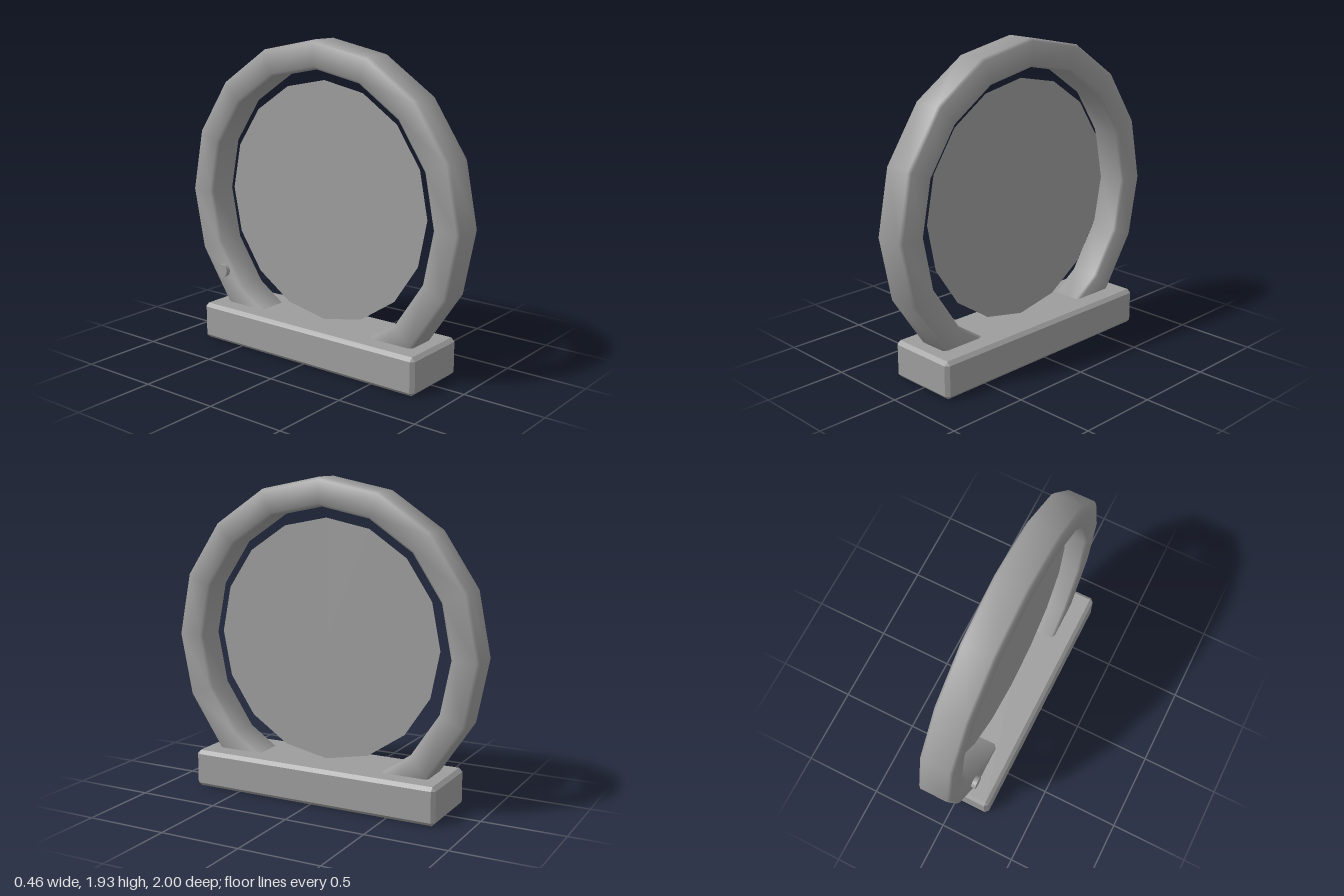
import * as THREE from 'three';
import { ConvexGeometry } from 'three/addons/geometries/ConvexGeometry.js';

const CENTRE_Y = 0.935;

function part(name, geometry, options = {}) {
  const mesh = new THREE.Mesh(geometry, new THREE.MeshStandardMaterial({ color: 0x9d9d9d, ...options }));
  mesh.name = name;
  return mesh;
}

// Box with a flat chamfer on every edge, centred on the origin
function chamferedBox(w, h, d, c) {
  const half = [w / 2, h / 2, d / 2];
  const points = [];
  for (let axis = 0; axis < 3; axis++)
    for (const sx of [-1, 1]) for (const sy of [-1, 1]) for (const sz of [-1, 1]) {
      const p = [sx, sy, sz].map((s, i) => s * (half[i] - (i === axis ? 0 : c)));
      points.push(new THREE.Vector3(...p));
    }
  return new ConvexGeometry(points);
}

// Bevelled rectangular section swept round a 16-sided arc, open at the bottom
function ringGeometry() {
  const outer = 1, inner = 0.832, left = -0.104, right = 0.099, b = 0.016;
  const section = [
    [outer, left + b], [outer, right - b], [outer - b, right], [inner + b, right],
    [inner, right - b], [inner, left + b], [inner + b, left], [outer - b, left],
  ];
  // Soft normals, tilted midway between each flat and its bevel
  const tilts = [-1, 1, 3, 5, 7, 9, 11, 13].map((k) => (k * Math.PI) / 8);
  const n = section.length, first = -3, last = 11; // steps of 22.5 degrees
  const positions = [], normals = [], index = [];
  for (let i = first; i <= last; i++) {
    const t = (i * Math.PI) / 8, sin = Math.sin(t), cos = Math.cos(t);
    section.forEach(([r, x], j) => {
      const radial = Math.cos(tilts[j]);
      positions.push(x, CENTRE_Y + r * sin, r * cos);
      normals.push(Math.sin(tilts[j]), radial * sin, radial * cos);
    });
  }
  for (let i = 0; i < last - first; i++)
    for (let j = 0; j < n; j++) {
      const a = i * n + j, c = i * n + ((j + 1) % n);
      index.push(a, c, a + n, c, c + n, a + n);
    }
  const geometry = new THREE.BufferGeometry();
  geometry.setAttribute('position', new THREE.Float32BufferAttribute(positions, 3));
  geometry.setAttribute('normal', new THREE.Float32BufferAttribute(normals, 3));
  geometry.setIndex(index);
  return geometry;
}

export function createModel() {
  const model = new THREE.Group();
  model.name = 'standingMirror';

  // Plinth
  const base = part('base', chamferedBox(0.455, 0.23, 1.61, 0.022), { flatShading: true });
  base.position.y = 0.115;
  model.add(base);

  // Ring frame, its ends sunk into the plinth
  model.add(part('ringFrame', ringGeometry(), { side: THREE.DoubleSide }));

  // Thin disc standing inside the ring
  const disc = part('disc', new THREE.CircleGeometry(0.732, 16), { side: THREE.DoubleSide });
  disc.rotation.y = Math.PI / 2;
  disc.position.y = 0.963;
  model.add(disc);

  // Small button on the side of the ring
  const button = part('button', new THREE.CylinderGeometry(0.041, 0.041, 0.05, 16));
  button.rotation.z = Math.PI / 2;
  button.position.set(-0.108, 0.435, -0.73);
  model.add(button);

  return model;
}
